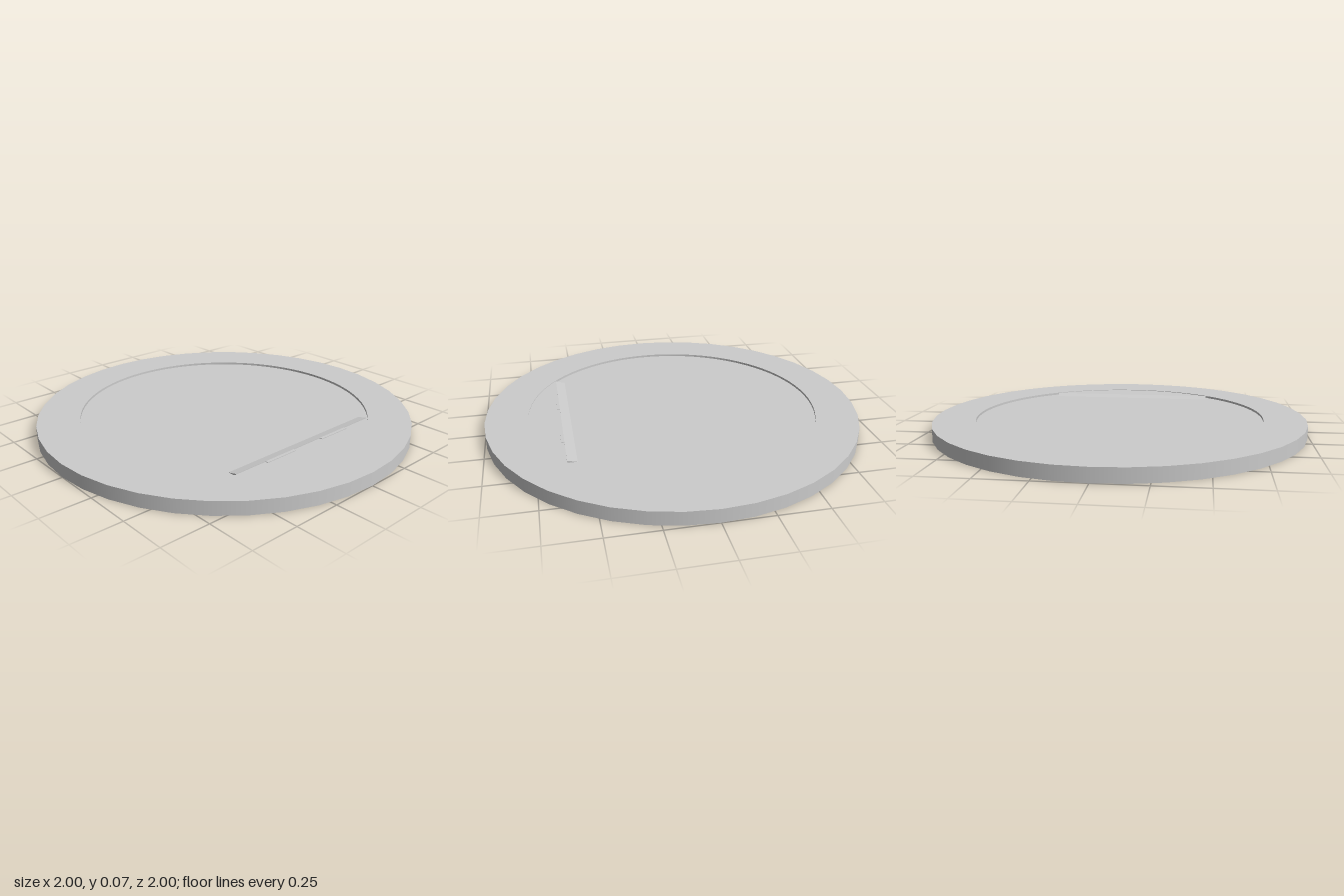
import * as THREE from 'three';

const H = 0.07, R_OUT = 1, R_IN = 0.775, CHORD = 0.605, HALF = 0.47;

const material = new THREE.MeshStandardMaterial({ color: 0xcccccc, side: THREE.DoubleSide });

function arcPoints(radius, from, to, count) {
  return Array.from({ length: count + 1 }, (_, i) => {
    const a = from + (to - from) * i / count;
    return new THREE.Vector2(radius * Math.cos(a), radius * Math.sin(a));
  });
}

// Flat plate lying in xz (shape y becomes z), with its top at the given height
function plate(shape, top, depth) {
  const geometry = depth
    ? new THREE.ExtrudeGeometry(shape, { depth, bevelEnabled: false })
    : new THREE.ShapeGeometry(shape);
  // turn the sheet's face upward
  if (!depth) {
    geometry.rotateX(-Math.PI / 2);
    geometry.translate(0, top, 0);
  } else {
    geometry.rotateX(Math.PI / 2);
    geometry.translate(0, top, 0);
  }
  return geometry;
}

export function createModel() {
  const group = new THREE.Group();
  const add = (name, geometry) => {
    const mesh = new THREE.Mesh(geometry, material);
    mesh.name = name;
    group.add(mesh);
  };
  const wall = (radius, sides) =>
    new THREE.CylinderGeometry(radius, radius, H, sides, 1, true).translate(0, H / 2, 0);

  // Rim: hollow underneath, closed by an annular top
  const rim = new THREE.Shape(arcPoints(R_OUT, 0, 2 * Math.PI, 40).slice(0, -1));
  rim.holes.push(new THREE.Path(arcPoints(R_IN, 0, 2 * Math.PI, 80).slice(0, -1)));
  add('rimTop', plate(rim, H, 0));
  add('outerWall', wall(R_OUT, 40));
  add('innerWall', wall(R_IN, 80));

  // Recessed panel, cut straight at the front
  const a = Math.asin(CHORD / R_IN);
  const panel = new THREE.Shape(arcPoints(R_IN, Math.PI - a, 2 * Math.PI + a, 64));
  add('recessedPanel', plate(panel, 0.058, 0.006));

  // Nearly flush segment in front of the cut
  const segment = new THREE.Shape(arcPoints(R_IN, a, Math.PI - a, 24));
  add('frontSegment', plate(segment, 0.067, 0.006));

  // Sloped lip rising from the panel to the cut
  const lip = new THREE.Shape([
    new THREE.Vector2(-CHORD, 0.05), new THREE.Vector2(-0.555, 0.05),
    new THREE.Vector2(-0.555, 0.058), new THREE.Vector2(-CHORD, H),
  ]);
  add('slopedLip', new THREE.ExtrudeGeometry(lip, { depth: 2 * HALF, bevelEnabled: false })
    .rotateY(Math.PI / 2).translate(-HALF, 0, 0));

  // Upright web under the lip
  add('lipWeb', new THREE.BoxGeometry(2 * HALF, 0.066, 0.006).translate(0, 0.033, CHORD));

  // Pair of small tabs along the lip
  for (const side of [-1, 1]) {
    add(side > 0 ? 'leftTab' : 'rightTab',
      new THREE.BoxGeometry(0.19, 0.01, 0.016).translate(side * 0.19, H - 0.005, CHORD + 0.008));
  }
  return group;
}
